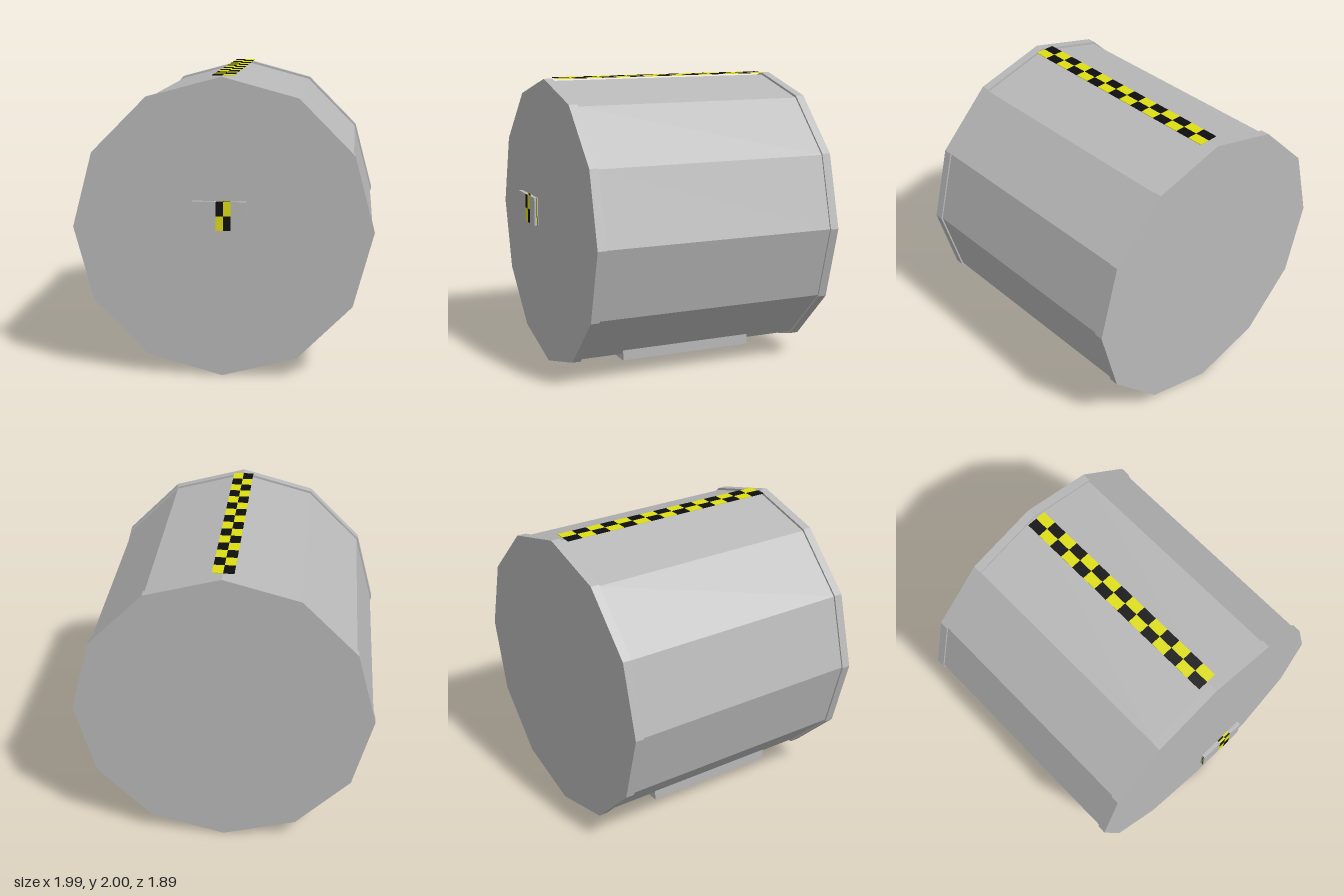
import * as THREE from 'three';

const mat = (name, color, extra = {}) => {
  const m = new THREE.MeshStandardMaterial({ color, ...extra });
  m.name = name;
  return m;
};

export function createModel() {
  const root = new THREE.Group();
  const grey = mat('grey metal', 0xb8b8b8, { flatShading: true });
  const yellow = mat('warning yellow', 0xdede14);
  const black = mat('warning black', 0x0e0e0e);

  const add = (parent, name, geometry, material, x, y, z) => {
    const mesh = new THREE.Mesh(geometry, material);
    mesh.name = name;
    mesh.position.set(x, y, z);
    parent.add(mesh);
    return mesh;
  };

  // Twelve-sided drum lying along z, with a ridge at the top
  const drum = (name, rx, ry, z0, z1) => {
    const g = new THREE.CylinderGeometry(1, 1, z1 - z0, 12);
    g.rotateX(-Math.PI / 2).scale(rx, ry, 1);
    add(root, name, g, grey, 0, 0.998, (z0 + z1) / 2);
  };
  drum('tankBody', 0.982, 0.982, -0.89, 0.75);
  drum('frontEndCap', 0.993, 0.998, 0.743, 0.803);
  drum('backEndCap', 0.993, 0.998, -0.943, -0.883);

  // Support rails under the drum
  for (const s of [-1, 1]) {
    add(root, s > 0 ? 'leftRail' : 'rightRail',
      new THREE.BoxGeometry(0.175, 0.075, 0.95), grey, s * 0.4375, 0.1475, -0.03);
  }

  // Checkered strip along the top
  const strip = new THREE.Group();
  strip.name = 'warningStrip';
  root.add(strip);
  const rows = 15, zStart = -0.86, step = 1.58 / rows;
  for (let i = 0; i < rows; i++) {
    for (let j = 0; j < 2; j++) {
      add(strip, 'stripTile', new THREE.BoxGeometry(0.07, 0.004, step),
        (i + j) % 2 ? yellow : black, j * 0.07 - 0.037, 1.998, zStart + step * (i + 0.5));
    }
  }

  // Floating name plate in front, with a two-by-two check on each face
  const plate = new THREE.Group();
  plate.name = 'frontPlate';
  plate.position.set(-0.002, 1.116, 0.929);
  root.add(plate);
  const W = 0.346, H = 0.19, D = 0.026;
  add(plate, 'plateBody', new THREE.BoxGeometry(W, H, D), grey, 0, 0, 0);
  const checkFace = (w, h, d, rx, ry) => {
    const face = new THREE.Group();
    face.name = 'plateCheck';
    face.rotation.set(rx, ry, 0);
    plate.add(face);
    for (let i = 0; i < 2; i++) {
      for (let j = 0; j < 2; j++) {
        add(face, 'checkTile', new THREE.PlaneGeometry(w * 0.14, h / 2),
          (i + j) % 2 ? black : yellow, w * (j * 0.14 + 0.005), h * (i - 0.5) / 2, d / 2 + 0.001);
      }
    }
  };
  checkFace(W, H, D, 0, 0);
  checkFace(W, H, D, 0, Math.PI);
  checkFace(D, H, W, 0, Math.PI / 2);
  checkFace(D, H, W, 0, -Math.PI / 2);
  checkFace(W, D, H, -Math.PI / 2, 0);
  checkFace(W, D, H, Math.PI / 2, 0);

  return root;
}
